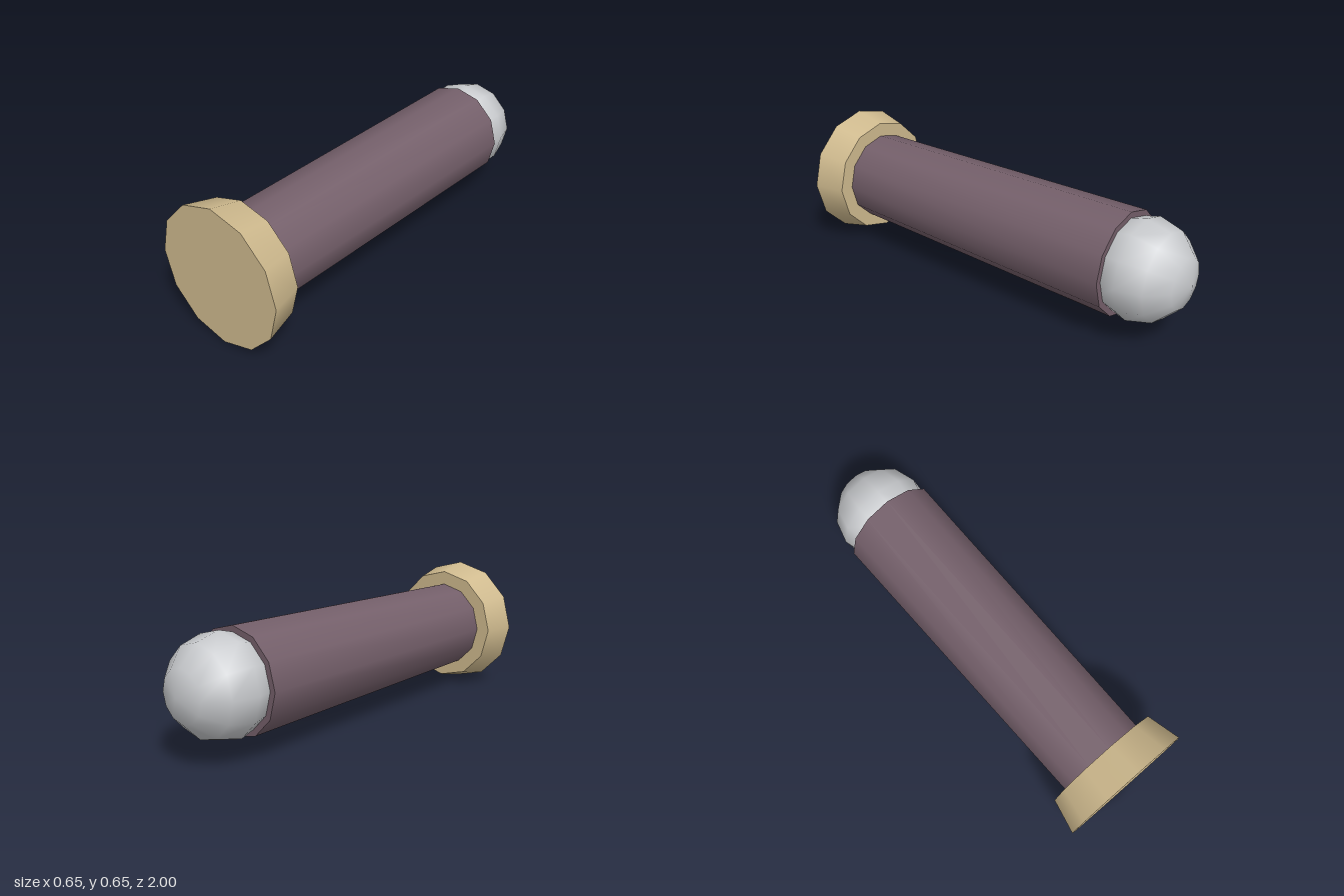
import * as THREE from 'three';

const SIDES = 12;
const AXIS_Y = 0.324;

function material(name, color) {
  const m = new THREE.MeshStandardMaterial({ color });
  m.name = name;
  return m;
}

export function createModel() {
  const group = new THREE.Group();
  group.name = 'model';

  const add = (name, geometry, mat, z) => {
    geometry.rotateX(Math.PI / 2); // lay the part's own axis along z
    const mesh = new THREE.Mesh(geometry, mat);
    mesh.name = name;
    mesh.position.set(0, AXIS_Y, z);
    group.add(mesh);
  };

  // Tapered section between two z positions
  const taper = (name, rFront, rBack, zFront, zBack, mat) =>
    add(name, new THREE.CylinderGeometry(rFront, rBack, zFront - zBack, SIDES), mat, (zFront + zBack) / 2);

  // Flared end cap at the front
  taper('endCap', 0.324, 0.288, 1, 0.843, material('tan', 0xcfba8e));

  // Long shaft, slightly wider towards the back
  taper('shaft', 0.22, 0.243, 0.843, -0.692, material('dull plum', 0x745f6a));

  // Round tip seated in the back of the shaft
  add('roundTip', new THREE.SphereGeometry(0.235, SIDES, 6), material('light grey', 0xc8cacd), -0.765);

  return group;
}
